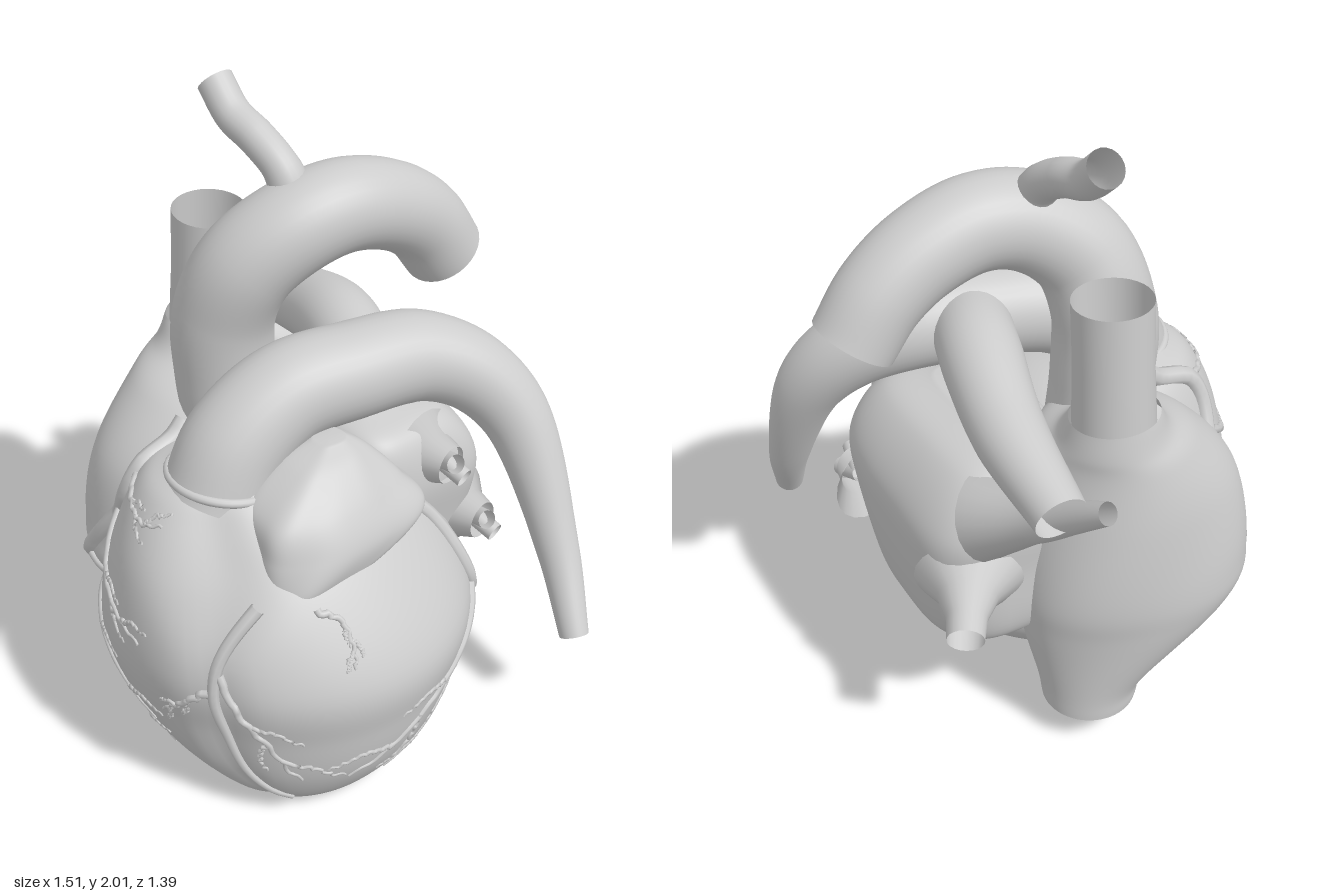
import * as THREE from 'three';

const tissue = new THREE.MeshStandardMaterial({ color: 0xcccccc, side: THREE.DoubleSide });
tissue.name = 'pale grey';

// Surface lofted through horizontal sections [y, x0, x1, z0, z1]
class Loft {
  constructor(sections, { shape = () => 1, square = 1, closed = true, rows = 60, cols = 80 } = {}) {
    Object.assign(this, { shape, square, closed, rows, cols });
    const curve = (a, b) => new THREE.CatmullRomCurve3(
      sections.map(s => new THREE.Vector3(s[0], s[a], s[b])), false, 'catmullrom', 0.5);
    const cx = curve(1, 2), cz = curve(3, 4);
    this.rings = [];
    for (let i = 0; i <= rows; i++) {
      const p = cx.getPoint(i / rows), q = cz.getPoint(i / rows);
      this.rings.push({ y: p.x, cx: (p.y + p.z) / 2, rx: (p.z - p.y) / 2, cz: (q.y + q.z) / 2, rz: (q.z - q.y) / 2 });
    }
  }
  ringAt(y) {
    const r = this.rings, i = r.findIndex(k => k.y >= y);
    if (i < 0) return r[r.length - 1];
    if (i === 0) return r[0];
    const a = r[i - 1], b = r[i], f = (y - a.y) / (b.y - a.y || 1), out = {};
    for (const k in a) out[k] = a[k] + (b[k] - a[k]) * f;
    return out;
  }
  // z of the front (side 1) or back (side -1) at x, y
  zAt(x, y, side = 1) {
    const r = this.ringAt(y), t = side * Math.acos(THREE.MathUtils.clamp((x - r.cx) / r.rx, -1, 1));
    return r.cz + r.rz * Math.sin(t) * this.shape(t, y);
  }
  // x of the left flank at z, y
  xAt(z, y) {
    const r = this.ringAt(y), t = Math.asin(THREE.MathUtils.clamp((z - r.cz) / r.rz, -1, 1));
    return r.cx + r.rx * Math.cos(t) * this.shape(t, y);
  }
  geometry() {
    const pos = [], idx = [], n = this.cols;
    const bend = v => Math.sign(v) * Math.abs(v) ** this.square;
    for (const r of this.rings) for (let j = 0; j < n; j++) {
      const t = (j / n - 0.5) * Math.PI * 2, m = this.shape(t, r.y);
      pos.push(r.cx + r.rx * m * bend(Math.cos(t)), r.y, r.cz + r.rz * m * bend(Math.sin(t)));
    }
    for (let i = 0; i < this.rows; i++) for (let j = 0; j < n; j++) {
      const a = i * n + j, b = i * n + (j + 1) % n;
      idx.push(a, a + n, b, b, a + n, b + n);
    }
    if (this.closed) [0, this.rows].forEach((row, top) => {
      const r = this.rings[row], c = pos.length / 3;
      pos.push(r.cx, r.y, r.cz);
      for (let j = 0; j < n; j++) {
        const a = row * n + j, b = row * n + (j + 1) % n;
        idx.push(c, top ? b : a, top ? a : b);
      }
    });
    const g = new THREE.BufferGeometry();
    g.setAttribute('position', new THREE.Float32BufferAttribute(pos, 3));
    g.setIndex(idx);
    g.computeVertexNormals();
    return g;
  }
}

// Open tube whose radius follows a list spread along its length
function vessel(points, radii, steps = 48, sides = 32) {
  const path = new THREE.CatmullRomCurve3(points.map(p => new THREE.Vector3(...p)));
  const g = new THREE.TubeGeometry(path, steps, 1, sides, false);
  const p = g.attributes.position, normal = g.attributes.normal, v = new THREE.Vector3();
  for (let i = 0; i <= steps; i++) {
    const f = i / steps * (radii.length - 1), k = Math.min(Math.floor(f), radii.length - 2);
    const r = THREE.MathUtils.lerp(radii[k], radii[k + 1], f - k), c = path.getPointAt(i / steps);
    for (let j = 0; j <= sides; j++) {
      const q = i * (sides + 1) + j;
      v.fromBufferAttribute(normal, q).multiplyScalar(r).add(c);
      p.setXYZ(q, v.x, v.y, v.z);
    }
  }
  return g;
}

export function createModel() {
  const model = new THREE.Group();
  const add = (name, geometry) => {
    const m = new THREE.Mesh(geometry, tissue);
    m.name = name;
    model.add(m);
    return m;
  };

  // Ventricles; the groove between the chambers widens into a hollow under the auricle
  const groove = (t, y) => {
    const high = THREE.MathUtils.smoothstep(y, 0.6, 0.9);
    return 1 - (0.04 + 0.09 * high) * Math.exp(-(((t - 1.03 + 0.15 * high) / (0.13 + 0.25 * high)) ** 2));
  };
  const ventricles = new Loft([
    [0, 0.33, 0.42, 0.13, 0.24], [0.012, 0.2, 0.48, 0, 0.36], [0.05, 0.05, 0.54, -0.12, 0.48],
    [0.18, -0.28, 0.62, -0.29, 0.6], [0.35, -0.47, 0.66, -0.4, 0.67], [0.55, -0.45, 0.67, -0.43, 0.7],
    [0.8, -0.33, 0.51, -0.3, 0.66], [0.98, -0.22, 0.31, -0.05, 0.56], [1.04, -0.1, 0.22, 0.12, 0.47],
  ], { shape: groove });
  add('ventricles', ventricles.geometry());

  // Right atrium running down into the open lower vena cava
  const rightAtrium = new Loft([
    [0.12, -0.57, -0.28, -0.19, 0.1], [0.22, -0.58, -0.24, -0.2, 0.16], [0.45, -0.645, -0.08, -0.24, 0.48],
    [0.6, -0.66, -0.06, -0.25, 0.51], [0.85, -0.635, -0.03, -0.23, 0.46], [1.04, -0.6, -0.12, -0.18, 0.31],
    [1.12, -0.58, -0.27, -0.15, 0.19], [1.2, -0.565, -0.33, -0.13, 0.14],
  ], { closed: false, shape: (t, y) => 1 + 0.018 * Math.sin(4 * t + 7 * y) * Math.sin(Math.PI * (y - 0.12) / 1.08) });
  add('rightAtrium', rightAtrium.geometry());
  add('upperVenaCava', vessel([[-0.445, 1.17, 0.005], [-0.42, 1.56, 0.005]], [0.12, 0.114, 0.115], 16));

  // Left atrium, a rounded box at the back
  add('leftAtrium', new Loft([
    [0.37, -0.25, 0.16, -0.43, -0.2], [0.46, -0.39, 0.26, -0.49, -0.03], [0.7, -0.42, 0.32, -0.53, 0],
    [0.87, -0.43, 0.34, -0.525, 0], [1.02, -0.37, 0.29, -0.42, -0.03], [1.07, -0.2, 0.15, -0.28, -0.1],
  ], { square: 0.6, shape: (t, y) => 1 + 0.02 * Math.sin(4 * t + 5 * y) }).geometry());

  // Left auricle, a lumpy flap over the left shoulder
  add('leftAuricle', new Loft([
    [0.77, 0.33, 0.45, 0.22, 0.39], [0.81, 0.25, 0.485, 0.06, 0.405], [0.9, 0.16, 0.49, -0.16, 0.4],
    [1.0, 0.15, 0.44, -0.1, 0.375], [1.09, 0.16, 0.36, -0.02, 0.25], [1.135, 0.21, 0.29, 0.04, 0.13],
  ], { square: 0.75, shape: (t, y) => 1 + 0.025 * Math.sin(6 * t + 14 * y) }).geometry());

  // Great arteries
  add('aorta', vessel([[-0.18, 0.9, 0.1], [-0.2, 1.15, 0.12], [-0.19, 1.36, 0.125], [-0.13, 1.53, 0.08],
    [-0.07, 1.635, -0.05], [-0.04, 1.662, -0.2], [-0.03, 1.61, -0.37], [-0.03, 1.52, -0.495], [-0.03, 1.395, -0.585]],
  [0.15, 0.155, 0.145, 0.135, 0.125], 72));
  add('archBranch', vessel([[-0.08, 1.66, -0.06], [-0.13, 1.78, -0.05], [-0.23, 1.85, -0.035],
    [-0.33, 1.89, -0.025], [-0.415, 1.965, -0.025]], [0.07, 0.055, 0.055, 0.055], 32, 20));
  add('pulmonaryTrunk', vessel([[0.07, 0.94, 0.36], [0.07, 1.1, 0.28], [0.09, 1.21, 0.12], [0.14, 1.235, -0.08],
    [0.19, 1.225, -0.3], [0.27, 1.15, -0.45], [0.37, 1.0, -0.55], [0.57, 0.6, -0.575], [0.71, 0.36, -0.535]],
  [0.165, 0.15, 0.14, 0.11, 0.075, 0.046], 80));
  add('rightPulmonaryArtery', vessel([[0.15, 1.22, -0.13], [-0.06, 1.25, -0.21], [-0.35, 1.18, -0.28], [-0.66, 1.1, -0.295]],
    [0.12, 0.12, 0.105, 0.078], 32));
  const ring = add('pulmonaryRing', new THREE.TorusGeometry(0.166, 0.014, 12, 48));
  ring.position.set(0.07, 1.01, 0.325);
  ring.rotation.x = Math.PI / 2 - 0.15;

  // Pulmonary veins: flared roots on the right, roots with twin hollow stubs on the left
  const vein = (pts, radii) => add('pulmonaryVein', vessel(pts, radii, 20, 20));
  vein([[-0.34, 0.9, -0.34], [-0.5, 0.97, -0.27], [-0.74, 1.135, -0.2]], [0.14, 0.075, 0.05, 0.033]);
  vein([[-0.34, 0.69, -0.41], [-0.52, 0.64, -0.52]], [0.16, 0.09, 0.06, 0.055]);
  for (const [y, z] of [[0.92, -0.3], [0.64, -0.45]]) {
    vein([[0.25, y, z + 0.02], [0.36, y, z]], [0.14, 0.08, 0.06]);
    for (const d of [-1, 1]) vein([[0.3, y, z], [0.4, y + d * 0.035, z + d * 0.02]], [0.03, 0.03]);
  }

  // Coronary vessels laid on the surface; flat points are (x, y) or, on the flank, (z, y)
  const front = p => [p.x, p.y, Math.max(ventricles.zAt(p.x, p.y), rightAtrium.zAt(p.x, p.y))];
  const back = p => [p.x, p.y, ventricles.zAt(p.x, p.y, -1)];
  const flank = p => [ventricles.xAt(p.x, p.y), p.y, p.x];
  function coronary(name, lay, r0, r1, pts) {
    const curve = new THREE.SplineCurve(pts.map(p => new THREE.Vector2(...p)));
    const wiggle = r0 < 0.02 ? 0.005 : 0;
    const laid = curve.getSpacedPoints(20).map((p, i) =>
      lay(p.add(new THREE.Vector2(Math.sin(i * 1.7), Math.cos(i * 2.3)).multiplyScalar(wiggle))));
    add(name, vessel(laid, [r0, r1], 32, 8));
    return curve;
  }
  // A branch sprouts bent twigs on alternate sides
  function branch(lay, r, ...pts) {
    const curve = coronary('coronaryBranch', lay, r, 0.005, pts), length = curve.getLength();
    [0.4, 0.6, 0.78].forEach((f, i) => {
      const turn = i % 2 ? -0.7 : 0.7, start = curve.getPointAt(f), dir = curve.getTangentAt(f);
      const step = a => dir.clone().rotateAround(new THREE.Vector2(), a).multiplyScalar(length * 0.15);
      const middle = start.clone().add(step(turn)), end = middle.clone().add(step(turn * 0.3));
      coronary('coronaryTwig', lay, r * 0.6, 0.004, [start, middle, end].map(p => p.toArray()));
    });
  }

  coronary('rightCoronary', front, 0.032, 0.022, [[-0.17, 1.05], [-0.165, 0.95], [-0.23, 0.8], [-0.45, 0.48], [-0.475, 0.38]]);
  coronary('anteriorCoronary', front, 0.022, 0.01, [[0.41, 0.8], [0.38, 0.6], [0.41, 0.25], [0.48, 0.07]]);
  coronary('coronarySinus', flank, 0.025, 0.025, [[-0.08, 0.89], [-0.17, 0.83], [-0.25, 0.72], [-0.34, 0.47]]);
  coronary('coronarySinus', back, 0.025, 0.022, [[0.43, 0.5], [0.1, 0.33], [-0.15, 0.31]]);

  // Front branches
  branch(front, 0.013, [-0.17, 0.96], [0, 0.93], [0.1, 0.95]);
  branch(front, 0.017, [-0.24, 0.8], [-0.1, 0.67], [0.13, 0.6]);
  branch(front, 0.018, [-0.41, 0.5], [-0.18, 0.42], [0.13, 0.28]);
  branch(front, 0.018, [-0.47, 0.38], [-0.2, 0.21], [0.15, 0.17]);
  branch(front, 0.014, [0.38, 0.55], [0.2, 0.38]);
  branch(front, 0.014, [0.39, 0.6], [0.49, 0.4], [0.54, 0.2]);
  // Left flank and back branches
  branch(flank, 0.012, [0.33, 0.78], [0.27, 0.73], [0.28, 0.62]);
  branch(flank, 0.016, [-0.31, 0.52], [-0.05, 0.38], [0.28, 0.18]);
  branch(flank, 0.012, [-0.31, 0.5], [-0.14, 0.25], [0.12, 0.1]);
  branch(back, 0.016, [-0.18, 0.28], [0, 0.2], [0.3, 0.06]);
  branch(back, 0.012, [0.32, 0.4], [0.4, 0.16]);

  return model;
}
